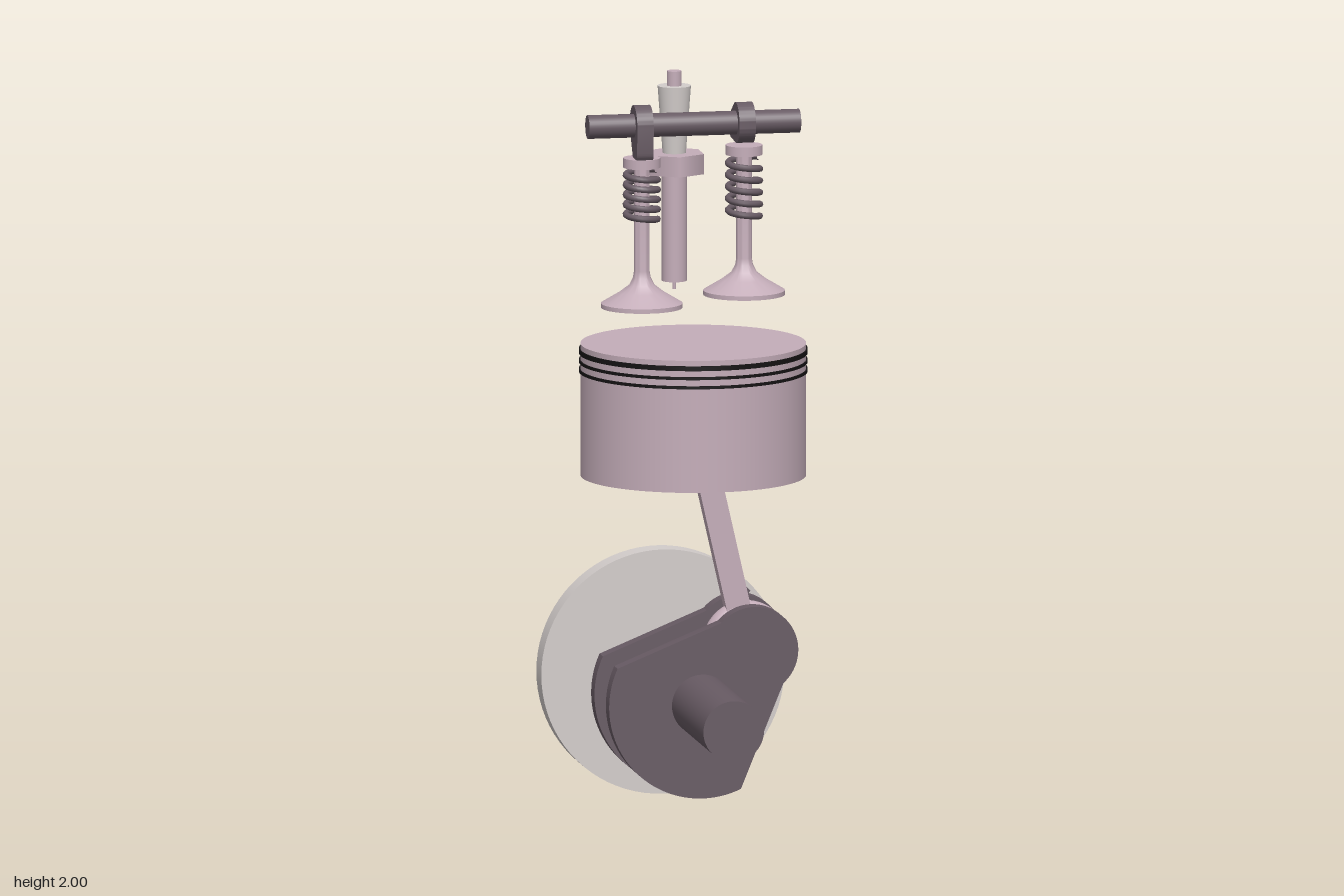
import * as THREE from 'three';
import { toCreasedNormals } from 'three/addons/utils/BufferGeometryUtils.js';

const mat = (name, color) => new THREE.MeshStandardMaterial({ name, color });

export function createModel() {
  const steel = mat('rosySteel', 0xc4adb9);
  const dark = mat('darkSteel', 0x685b64);
  const pale = mat('paleMetal', 0xd3cdcb);
  const black = mat('blackRing', 0x151314);

  const root = new THREE.Group();
  root.name = 'engineCylinder';
  const Z = -0.033;        // plane of piston, rod and valves
  const CRANK_Y = 0.335;   // crankshaft axis
  const PIN = 0.143;       // crank pin offset in x and y
  const CAM_Y = 1.899;     // camshaft axis

  const add = (name, geo, material, x = 0, y = 0, z = 0, parent = root) => {
    const m = new THREE.Mesh(geo, material);
    m.name = name;
    m.position.set(x, y, z);
    parent.add(m);
    return m;
  };
  // cylinder standing between two heights
  const upright = (name, r0, r1, y0, y1, material, x, z, seg = 32, parent = root) =>
    add(name, new THREE.CylinderGeometry(r1, r0, y1 - y0, seg), material, x, (y0 + y1) / 2, z, parent);
  // cylinder lying along z between two depths
  const alongZ = (name, r, z0, z1, material, x, y, seg = 48) =>
    add(name, new THREE.CylinderGeometry(r, r, z1 - z0, seg).rotateX(Math.PI / 2), material, x, y, (z0 + z1) / 2);
  // smooth turned part with crisp corners
  const turned = (pts, seg = 48) => toCreasedNormals(
    new THREE.LatheGeometry(pts.map(p => new THREE.Vector2(...p)), seg), 0.6);

  // Crankshaft and flywheel
  alongZ('crankshaft', 0.083, -0.55, 0.55, dark, 0, CRANK_Y);
  alongZ('flywheel', 0.333, -0.543, -0.471, pale, 0, CRANK_Y, 80);
  const mark = add('timingMark', new THREE.BoxGeometry(0.075, 0.038, 0.076), dark, 0.2, CRANK_Y + 0.2, -0.507);
  mark.rotation.z = Math.PI / 4;
  alongZ('crankPin', 0.074, Z - 0.1, Z + 0.1, dark, PIN, CRANK_Y + PIN);

  // Crank webs: counterweight arc joined to a round lobe at the pin
  const web = new THREE.Shape();
  const deg = Math.PI / 180;
  web.absarc(0, 0, 0.255, 155.5 * deg, 294.5 * deg, false);
  web.absarc(PIN, PIN, 0.12, -48.7 * deg, 138.7 * deg, false);
  web.closePath();
  const webGeo = toCreasedNormals(
    new THREE.ExtrudeGeometry(web, { depth: 0.048, bevelEnabled: false, curveSegments: 40 }), 0.4);
  add('frontCrankWeb', webGeo, dark, 0, CRANK_Y, Z + 0.082);
  add('rearCrankWeb', webGeo, dark, 0, CRANK_Y, Z - 0.13);

  // Connecting rod
  const wristY = 1.11, bigY = CRANK_Y + PIN;
  const dx = -PIN, dy = wristY - bigY, len = Math.hypot(dx, dy);
  add('rodBigEnd', new THREE.TorusGeometry(0.085, 0.033, 20, 56), steel, PIN, bigY, Z);
  const start = 0.09 / len;
  const rod = add('connectingRod', new THREE.BoxGeometry(0.066, len * (1 - start), 0.048), steel,
    PIN + dx * (1 + start) / 2, bigY + dy * (1 + start) / 2, Z);
  rod.rotation.z = Math.atan2(-dx, dy);

  // Piston with three rings
  upright('piston', 0.304, 0.304, 0.942, 1.302, steel, 0, Z, 80);
  [[1.281, 0.013], [1.254, 0.008], [1.229, 0.008]].forEach(([y, h], i) =>
    upright('pistonRing' + (i + 1), 0.308, 0.308, y - h / 2, y + h / 2, black, 0, Z, 80));

  // Valve with retainer and coil spring; y0 is the underside of its head
  const SPRING_Y = 1.643;
  function valve(name, x, y0) {
    const g = new THREE.Group();
    g.name = name;
    g.position.set(x, 0, Z);
    root.add(g);
    const top = y0 + 0.408;
    add('valveBody', turned([
      [0, y0], [0.11, y0], [0.11, y0 + 0.012], [0.06, y0 + 0.042], [0.034, y0 + 0.062],
      [0.024, y0 + 0.082], [0.021, y0 + 0.1], [0.021, top], [0, top],
    ]), steel, 0, 0, 0, g);
    upright('springRetainer', 0.05, 0.05, top - 0.026, top, steel, 0, 0, 40, g);
    const y1 = top - 0.034, turns = 5, pts = [];
    for (let i = 0; i <= turns * 12; i++) {
      const a = i / 12 * Math.PI * 2;
      pts.push(new THREE.Vector3(0.043 * Math.cos(a), SPRING_Y + (y1 - SPRING_Y) * i / (turns * 12), 0.043 * Math.sin(a)));
    }
    add('valveSpring', new THREE.TubeGeometry(new THREE.CatmullRomCurve3(pts), 160, 0.009, 8), dark, 0, 0, 0, g);
  }
  valve('rightValve', -0.141, 1.403);
  valve('leftValve', 0.139, 1.43);

  // Camshaft and egg-shaped cams
  add('camshaft', new THREE.CylinderGeometry(0.032, 0.032, 0.58, 32).rotateZ(Math.PI / 2), dark, 0, CAM_Y, Z);
  function cam(name, x, angle) {
    const R = 0.055, r = 0.034, d = 0.07, a = Math.acos((R - r) / d);
    const s = new THREE.Shape();
    s.absarc(0, 0, R, a, Math.PI * 2 - a, false);
    s.absarc(d, 0, r, -a, a, false);
    s.closePath();
    const geo = new THREE.ExtrudeGeometry(s, { depth: 0.045, bevelEnabled: false, curveSegments: 28 });
    geo.translate(0, 0, -0.0225).rotateZ(angle).rotateY(Math.PI / 2);
    add(name, toCreasedNormals(geo, 0.5), dark, x, CAM_Y, Z);
  }
  cam('rightCam', -0.141, -104 * deg);
  cam('leftCam', 0.139, -14 * deg);

  // Spark plug behind the valves
  const PZ = -0.307;
  upright('plugElectrode', 0.005, 0.005, 1.405, 1.44, steel, 0, PZ, 12);
  upright('plugBody', 0.034, 0.034, 1.428, 1.73, steel, 0, PZ);
  upright('plugHexNut', 0.085, 0.085, 1.722, 1.777, steel, 0, PZ, 6);
  upright('plugInsulator', 0.031, 0.045, 1.77, 1.96, pale, 0, PZ, 40);
  upright('plugTerminal', 0.02, 0.02, 1.95, 2.0, steel, 0, PZ, 24);

  return root;
}
